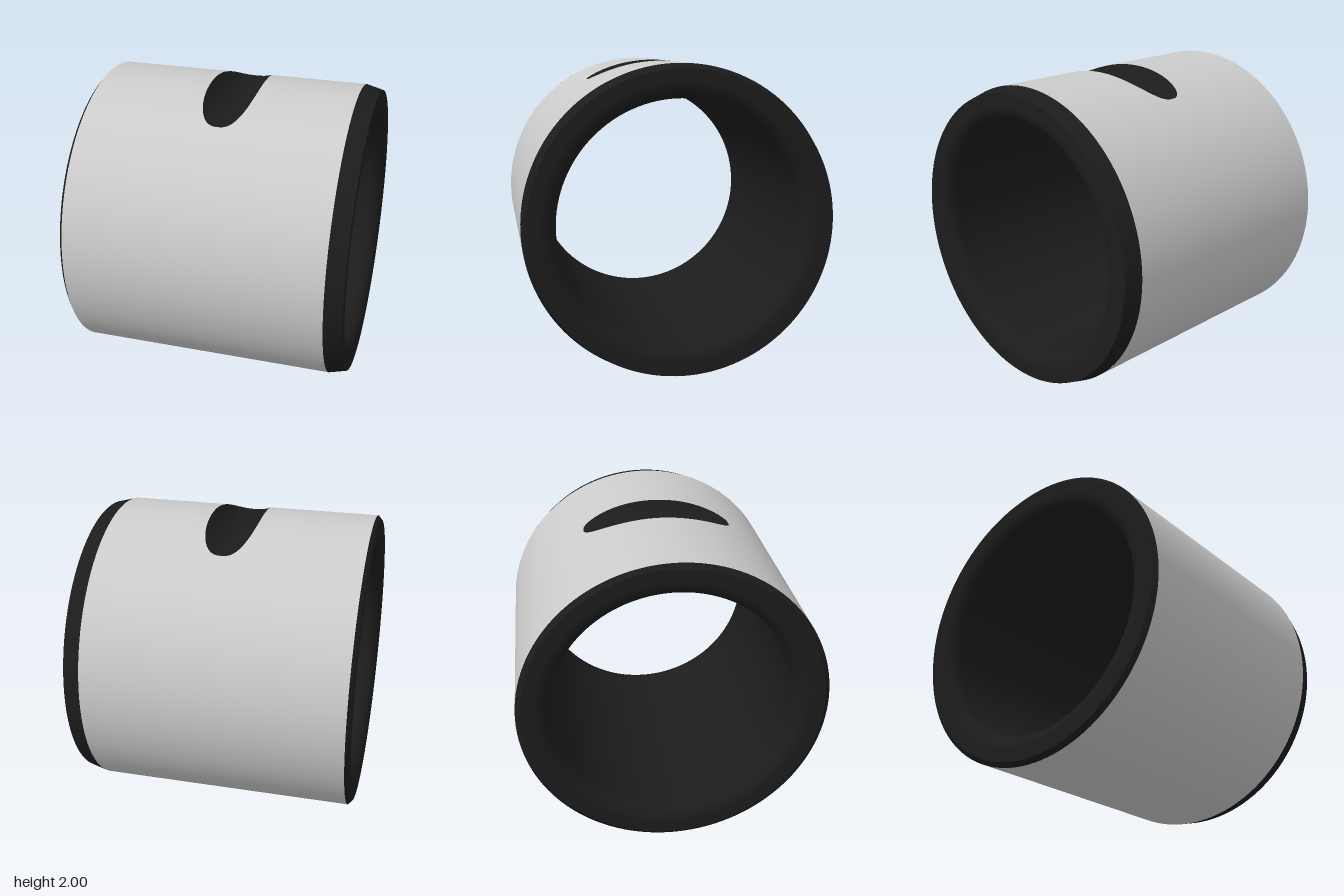
import * as THREE from 'three';
import { mergeVertices } from 'three/addons/utils/BufferGeometryUtils.js';

const HALF = 0.925, X0 = -0.9, X1 = 0.81; // half length, ends of the outer skin
const BORE = 0.785, RIM = 0.97, FILLET = 0.1;
const PATCH = 0.64; // half angle of the skin patch around the groove
const SEG = 128;

const skin = new THREE.MeshStandardMaterial({ color: 0xcccccc, side: THREE.DoubleSide });
const dark = new THREE.MeshStandardMaterial({ color: 0x1c1c1c, side: THREE.DoubleSide });

function addMesh(group, name, geometry, material) {
  const mesh = new THREE.Mesh(geometry, material);
  mesh.name = name;
  group.add(mesh);
  return mesh;
}

// Surface of revolution about the x axis; points are [radius, x]
function ring(group, name, points, material, start = 0, length = Math.PI * 2) {
  const pts = points.map(([r, x]) => new THREE.Vector2(r, x));
  const mesh = addMesh(group, name, new THREE.LatheGeometry(pts, SEG, start, length), material);
  mesh.rotation.z = -Math.PI / 2;
}

// Surface of closed loops growing outward; f(phi, t) gives a point
function loops(steps, f) {
  const pos = [], index = [];
  for (let j = 0; j <= steps; j++) {
    for (let i = 0; i < SEG; i++) pos.push(...f((i / SEG) * Math.PI * 2, j / steps));
  }
  for (let j = 0; j < steps; j++) {
    for (let i = 0; i < SEG; i++) {
      const a = j * SEG + i, b = j * SEG + ((i + 1) % SEG);
      index.push(a, b, a + SEG, b, b + SEG, a + SEG);
    }
  }
  const geo = new THREE.BufferGeometry();
  geo.setAttribute('position', new THREE.Float32BufferAttribute(pos, 3));
  geo.setIndex(index);
  return geo;
}

// Wrap x and an angle measured from the top onto a cylinder
const wrap = (x, angle, r) => [x, r * Math.cos(angle), r * Math.sin(angle)];

// Groove outline: a rounded oblong, as [x, z]
function outline(phi) {
  const c = Math.cos(phi), s = Math.sin(phi), n = 2.6;
  const k = (Math.abs(c) ** n + Math.abs(s) ** n) ** (-1 / n);
  return [0.17 * k * c, 0.49 * k * s];
}

export function createModel() {
  const group = new THREE.Group();
  group.name = 'bushing';
  const body = new THREE.Group();
  body.name = 'sleeve';
  body.position.y = 1;
  group.add(body);

  // Outer skin, all but the patch at the top
  ring(body, 'outerSkin', [[1, X0], [1, X1]], skin,
    Math.PI * 1.5 + PATCH, Math.PI * 2 - PATCH * 2);

  // Skin patch running from the groove outline to a rectangle
  const patch = loops(16, (phi, t) => {
    const [x, z] = outline(phi);
    const c = Math.cos(phi), s = Math.sin(phi), m = Math.max(Math.abs(c), Math.abs(s));
    const edgeX = (c / m) * (c > 0 ? X1 : -X0);
    return wrap(
      THREE.MathUtils.lerp(x, edgeX, t),
      THREE.MathUtils.lerp(Math.asin(z), (s / m) * PATCH, t), 1);
  });
  const normals = patch.attributes.position.clone();
  for (let i = 0; i < normals.count; i++) normals.setX(i, 0);
  patch.setAttribute('normal', normals);
  addMesh(body, 'grooveSurround', patch, skin);

  // Blind groove with a rounded floor
  const groove = mergeVertices(loops(16, (phi, t) => {
    const [x, z] = outline(phi);
    return wrap(x * t, Math.asin(z) * t, 1 - 0.12 * (1 - t * t));
  }));
  groove.computeVertexNormals();
  addMesh(body, 'oilGroove', groove, dark);

  // Short chamfer at one end, long lead-in chamfer at the other
  ring(body, 'shortChamfer', [[RIM, -HALF], [1, X0]], dark);
  ring(body, 'leadInChamfer', [[1, X1], [RIM, HALF]], dark);

  // Flat end faces
  const lip = BORE + FILLET;
  ring(body, 'leadInFace', [[RIM, HALF], [lip, HALF]], dark);
  ring(body, 'shortFace', [[lip, -HALF], [RIM, -HALF]], dark);

  // Bore with rounded mouths
  const bore = [];
  for (const side of [1, -1]) {
    for (let i = 0; i <= 8; i++) {
      const a = ((side > 0 ? i : 8 - i) / 8) * Math.PI / 2;
      bore.push([lip - FILLET * Math.sin(a), side * (HALF - FILLET + FILLET * Math.cos(a))]);
    }
  }
  ring(body, 'bore', bore, dark);

  return group;
}
